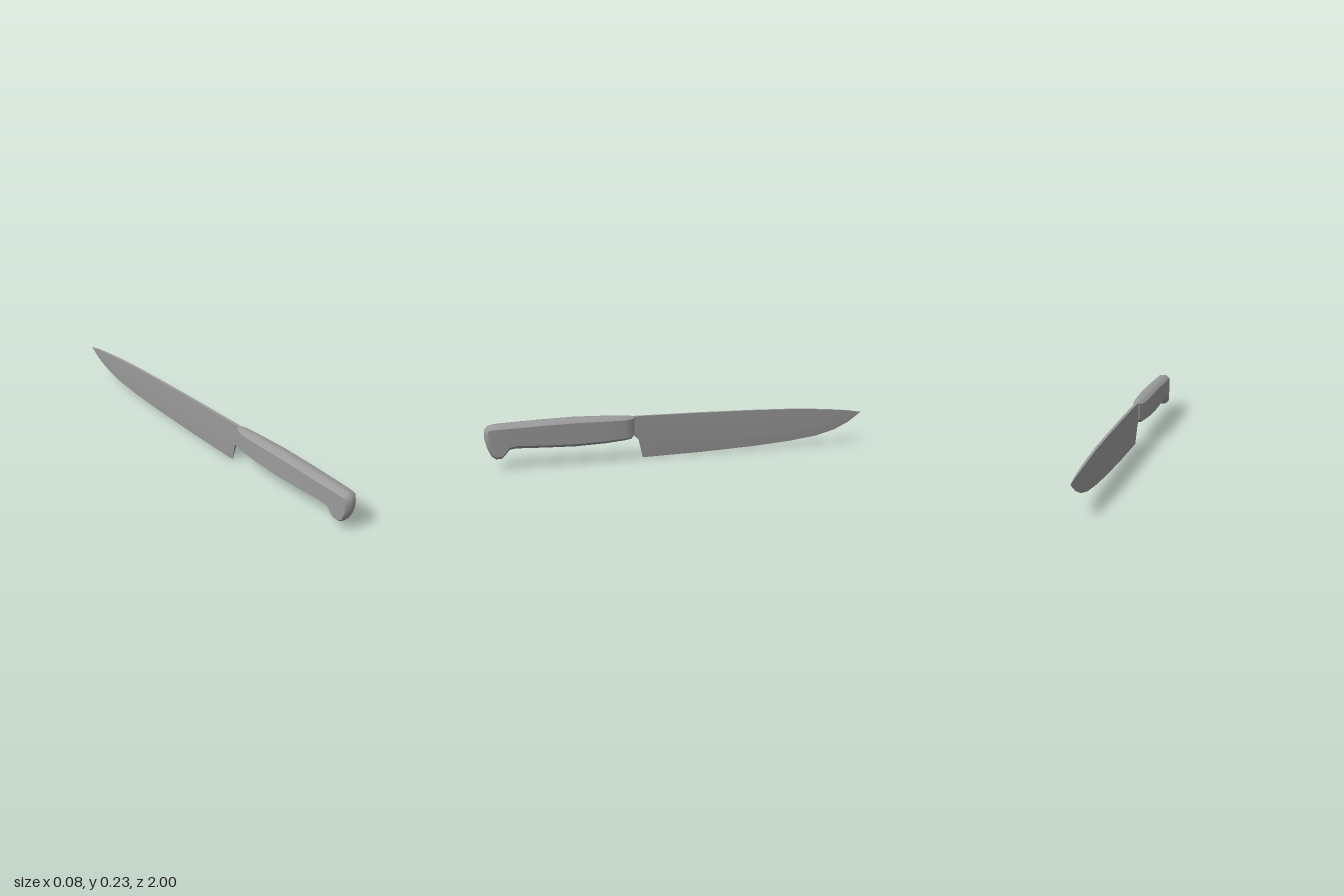
import * as THREE from 'three';
import { mergeGeometries } from 'three/addons/utils/BufferGeometryUtils.js';

const { lerp } = THREE.MathUtils;

// Smooth surface through rows of points; separate surfaces meet in sharp edges.
function surface(rows) {
  const n = rows[0].length;
  const index = [];
  for (let i = 0; i < rows.length - 1; i++) {
    for (let j = 0; j < n - 1; j++) {
      const a = i * n + j;
      index.push(a, a + n, a + 1, a + 1, a + n, a + n + 1);
    }
  }
  const geometry = new THREE.BufferGeometry();
  geometry.setAttribute('position', new THREE.Float32BufferAttribute(rows.flat(2), 3));
  geometry.setIndex(index);
  geometry.computeVertexNormals();
  return geometry;
}

const flip = ([x, y, z]) => [-x, y, z];
const mirrorRows = (rows) => rows.map((row) => row.map(flip).reverse());

// Half width of the handle along z, narrow at the blade and the butt.
const widths = [[0.25, 0.014], [0.27, 0.025], [0.3, 0.032], [0.4, 0.037], [0.5, 0.04],
  [0.8, 0.04], [0.93, 0.038], [1, 0.033]];
function handleHalfWidth(z) {
  const i = Math.max(1, widths.findIndex(([end]) => z <= end));
  const [z0, w0] = widths[i - 1];
  const [z1, w1] = widths[i];
  return lerp(w0, w1, (z - z0) / (z1 - z0));
}

function createHandle() {
  // z and y of the upper outline, then z and y of the lower outline
  const stations = [
    [0.25, 0.222, 0.25, 0.127],
    [0.27, 0.226, 0.265, 0.109],
    [0.3, 0.228, 0.3, 0.104],
    [0.4, 0.232, 0.4, 0.096],
    [0.55, 0.236, 0.55, 0.091],
    [0.7, 0.233, 0.7, 0.095],
    [0.82, 0.229, 0.85, 0.101],
    [0.9, 0.226, 0.882, 0.095],
    [0.93, 0.225, 0.905, 0.066],
    [0.955, 0.223, 0.92, 0.053],
    [0.972, 0.22, 0.948, 0.051],
    [0.984, 0.215, 0.97, 0.067],
    [0.995, 0.202, 0.99, 0.11],
    [1, 0.187, 1, 0.152],
  ];
  const sections = stations.map(([zt, top, zb, bottom]) => {
    const wt = handleHalfWidth(zt);
    const wb = handleHalfWidth(zb);
    const inset = Math.min(wt * 0.5, (top - bottom) * 0.25);
    return [
      [wt * 0.46, top, zt],
      [wt, top - inset, Math.min(zt, 0.982)],
      [wb, bottom + inset * 0.85, Math.min(zb, 0.982)],
      [wb * 0.46, bottom, zb],
    ];
  });

  // rounded band running along the top, round the butt and back underneath
  const across = (outer, ridge) => [flip(ridge), flip(outer), outer, ridge];
  const band = [
    ...sections.map(([outer, ridge]) => across(outer, ridge)),
    ...sections.map(([, , ridge, outer]) => across(outer, ridge)).reverse(),
  ];
  const side = sections.map(([, upper, lower]) => [upper, lower]);
  const frontEnd = sections[0].map((p) => [p, flip(p)]);
  return mergeGeometries([band, side, mirrorRows(side), frontEnd].map(surface));
}

function createBlade() {
  // z and y of the spine, z and y of the cutting edge, half thickness of the spine
  const stations = [
    [-1, 0.171, -1, 0.169, 0],
    [-0.93, 0.183, -0.93, 0.119, 0.003],
    [-0.85, 0.192, -0.85, 0.082, 0.0055],
    [-0.75, 0.201, -0.75, 0.055, 0.006],
    [-0.6, 0.211, -0.6, 0.036, 0.0063],
    [-0.4, 0.217, -0.4, 0.021, 0.007],
    [-0.1, 0.222, -0.1, 0.009, 0.0075],
    [0.205, 0.224, 0.205, 0.003, 0.008],
    [0.235, 0.224, 0.225, 0.1, 0.008],
    [0.26, 0.222, 0.255, 0.126, 0.008],
  ];
  // each side stays thick to the lower third, then thins to the cutting edge
  const side = stations.map(([zs, top, ze, edge, half]) => {
    const edgeHalf = edge > 0.09 && zs > 0.21 ? half * 0.9 : Math.min(half, 0.0004);
    return [
      [half, top, zs],
      [half * 0.87, lerp(edge, top, 0.35), lerp(ze, zs, 0.35)],
      [edgeHalf, edge, ze],
    ];
  });
  const spine = side.map(([top]) => [flip(top), top]);
  const edge = side.map(([, , low]) => [low, flip(low)]);
  return mergeGeometries([side, mirrorRows(side), spine, edge].map(surface));
}

export function createModel() {
  const group = new THREE.Group();
  group.name = 'kitchenKnife';
  const material = new THREE.MeshStandardMaterial({ color: 0x9b9b9b });
  const parts = { handle: createHandle(), blade: createBlade() };
  for (const [name, geometry] of Object.entries(parts)) {
    const mesh = new THREE.Mesh(geometry, material);
    mesh.name = name;
    group.add(mesh);
  }
  return group;
}
